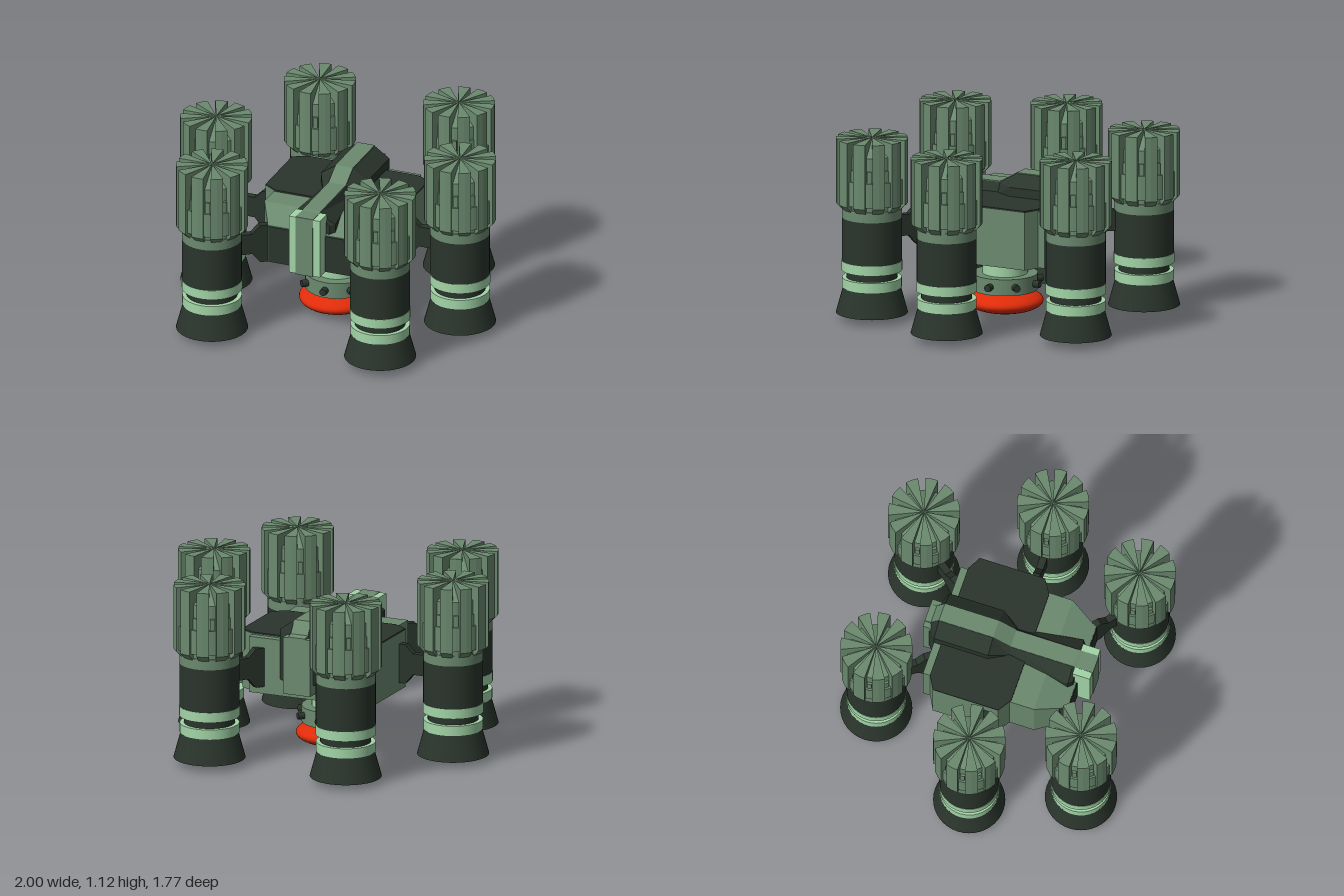
import * as THREE from 'three';
import { mergeGeometries } from 'three/addons/utils/BufferGeometryUtils.js';

const paint = (color) => new THREE.MeshStandardMaterial({ color });
const GREEN = paint(0x6b8a6f), DARK = paint(0x2a352c), LIGHT = paint(0xa3d6a8), RED = paint(0xe02c0a);

function add(parent, name, geometry, material, x = 0, y = 0, z = 0) {
  const mesh = new THREE.Mesh(geometry, material);
  mesh.name = name;
  mesh.position.set(x, y, z);
  parent.add(mesh);
  return mesh;
}

// Flat-faced solid through convex rings; sections = [z, [[x, y], ...]] with rising z, rings counter-clockwise
function loft(sections) {
  const pos = [];
  const put = (s, i) => pos.push(s[1][i][0], s[1][i][1], s[0]);
  const n = sections[0][1].length;
  const last = sections[sections.length - 1];
  for (let k = 0; k + 1 < sections.length; k++) {
    const a = sections[k], b = sections[k + 1];
    for (let i = 0; i < n; i++) {
      const j = (i + 1) % n;
      put(a, i); put(a, j); put(b, j);
      put(a, i); put(b, j); put(b, i);
    }
  }
  for (let i = 1; i + 1 < n; i++) {
    put(sections[0], 0); put(sections[0], i + 1); put(sections[0], i);
    put(last, 0); put(last, i); put(last, i + 1);
  }
  const g = new THREE.BufferGeometry();
  g.setAttribute('position', new THREE.Float32BufferAttribute(pos, 3));
  g.computeVertexNormals();
  return g;
}

const upright = (sections) => loft(sections).rotateX(-Math.PI / 2);
const box = (w, y0, y1) => [[-w, y0], [w, y0], [w, y1], [-w, y1]];

// Wedge-shaped ring from the axis out to radius r
function sector(r, mid, half) {
  const pts = [[0, 0]];
  for (const a of [-half, 0, half]) pts.push([r * Math.cos(mid + a), r * Math.sin(mid + a)]);
  return pts;
}

function circle(r, n) {
  return Array.from({ length: n }, (_, i) => {
    const a = (i / n) * Math.PI * 2;
    return [r * Math.cos(a), r * Math.sin(a)];
  });
}

// Finned head: core with sloping groove floors, tall fins, stepped blocks in the slots
function headGeometry() {
  const count = 11, pitch = (Math.PI * 2) / count;
  const parts = [upright([
    [0.7, circle(0.172, 33)], [1.03, circle(0.172, 33)], [1.11, circle(0.002, 33)],
  ])];
  for (let i = 0; i < count; i++) {
    const a = i * pitch + 0.1, half = pitch * 0.31;
    parts.push(upright([
      [0.69, sector(0.18, a, half)], [0.725, sector(0.215, a, half)], [1.12, sector(0.215, a, half)],
    ]));
    const s = a + pitch / 2, gap = pitch * 0.19;
    parts.push(upright([[0.73, sector(0.197, s, gap)], [0.88, sector(0.197, s, gap)]]));
    parts.push(upright([[0.88, sector(0.186, s, gap * 0.7)], [0.95, sector(0.186, s, gap * 0.7)]]));
  }
  return mergeGeometries(parts);
}

function thruster(head) {
  const g = new THREE.Group();
  g.name = 'thruster';
  const rings = [ // name, bottom y, top y, bottom radius, top radius, material
    ['nozzle', 0.05, 0.205, 0.215, 0.173, DARK],
    ['lowerBand', 0.205, 0.265, 0.178, 0.178, LIGHT],
    ['neck', 0.265, 0.31, 0.152, 0.152, DARK],
    ['upperBand', 0.31, 0.37, 0.181, 0.181, LIGHT],
    ['barrel', 0.37, 0.635, 0.179, 0.179, DARK],
    ['collar', 0.635, 0.7, 0.179, 0.179, GREEN],
  ];
  for (const [name, y0, y1, r0, r1, mat] of rings) {
    add(g, name, new THREE.CylinderGeometry(r1, r0, y1 - y0, 40), mat, 0, (y0 + y1) / 2, 0);
  }
  add(g, 'finnedHead', head, GREEN);
  return g;
}

// Thin bevelled plate joining hull point a to thruster centre b (both [x, z])
function strut(a, b) {
  const dx = b[0] - a[0], dz = b[1] - a[1], len = Math.hypot(dx, dz) - 0.1;
  const s = new THREE.Shape();
  [[-0.08, 0.44], [0.04, 0.44], [0.09, 0.5], [len, 0.5], [len, 0.63], [0.09, 0.63], [0.04, 0.68], [-0.08, 0.68]]
    .forEach(([x, y], i) => (i ? s.lineTo(x, y) : s.moveTo(x, y)));
  const geo = new THREE.ExtrudeGeometry(s, { depth: 0.044, bevelEnabled: false });
  geo.translate(0, 0, -0.022).rotateY(Math.atan2(-dz, dx)).translate(a[0], 0, a[1]);
  return geo;
}

export function createModel() {
  const model = new THREE.Group();

  // Hull: octagonal middle, tapered bow, stern block
  const plan = [[-0.355, 0.355], [-0.44, 0.31], [-0.44, -0.1], [-0.355, -0.155],
    [0.355, -0.155], [0.44, -0.1], [0.44, 0.31], [0.355, 0.355]];
  add(model, 'hullMiddle', upright([[0.392, plan], [0.745, plan]]), GREEN);
  add(model, 'hullDeck', upright([[0.745, plan], [0.755, plan]]), DARK);
  add(model, 'hullBow', loft([
    [0.1, box(0.365, 0.39, 0.745)], [0.3, box(0.365, 0.39, 0.745)], [0.478, box(0.27, 0.44, 0.68)],
  ]), GREEN);
  add(model, 'bowPlate', loft([[0.47, box(0.265, 0.445, 0.675)], [0.484, box(0.265, 0.445, 0.675)]]), DARK);
  add(model, 'hullStern', loft([[-0.4, box(0.355, 0.395, 0.74)], [-0.3, box(0.355, 0.395, 0.74)]]), GREEN);

  // Spine: waisted ridge, higher at the rear, with a strip along its top
  const spine = [ // z, half width, top y
    [-0.45, 0.09, 0.8], [-0.4, 0.15, 0.875], [-0.06, 0.15, 0.875],
    [0.05, 0.09, 0.81], [0.44, 0.15, 0.81], [0.465, 0.12, 0.805],
  ];
  add(model, 'spine', loft(spine.map(([z, w, y]) => [z, [
    [-w, 0.5], [w, 0.5], [w, y - 0.065], [0.056, y], [-0.056, y], [-w, y - 0.065],
  ]])), DARK);
  const strip = [[-0.49, 0, 0.79], ...spine, [0.567, 0, 0.81]];
  add(model, 'spineStrip', loft(strip.map(([z, , y]) => [z, box(0.056, y - 0.05, y + 0.005)])), GREEN);
  add(model, 'bowColumn', new THREE.BoxGeometry(0.2, 0.37, 0.11), LIGHT, 0, 0.625, 0.508);
  add(model, 'bowColumnStrip', new THREE.BoxGeometry(0.11, 0.375, 0.04), GREEN, 0, 0.625, 0.548);
  add(model, 'sternColumn', new THREE.BoxGeometry(0.18, 0.35, 0.1), GREEN, 0, 0.615, -0.44);

  // Belly turret: stem, collar with knobs, red lens
  const turret = new THREE.Group();
  turret.name = 'bellyTurret';
  turret.position.z = 0.045;
  model.add(turret);
  add(turret, 'stem', new THREE.CylinderGeometry(0.135, 0.135, 0.18, 40), LIGHT, 0, 0.32, 0);
  add(turret, 'turretCollar', new THREE.CylinderGeometry(0.195, 0.195, 0.1, 40), GREEN, 0, 0.195, 0);
  const knob = new THREE.CylinderGeometry(0.022, 0.022, 0.06, 12).rotateZ(Math.PI / 2);
  for (let i = 0; i < 8; i++) {
    const a = (i * Math.PI) / 4;
    add(turret, 'knob', knob, DARK, 0.203 * Math.cos(a), 0.195, -0.203 * Math.sin(a)).rotation.y = a;
  }
  add(turret, 'lens', new THREE.SphereGeometry(1, 40, 20).scale(0.23, 0.072, 0.23), RED, 0, 0.077, 0);

  // Six thrusters and their struts: thruster centre, then hull joint
  const head = headGeometry();
  const layout = [
    [[0.785, 0.035], [0.44, 0.035]], [[-0.785, 0.035], [-0.44, 0.035]],
    [[0.485, -0.675], [0.28, -0.4]], [[-0.41, -0.675], [-0.21, -0.4]],
    [[0.53, 0.665], [0.28, 0.46]], [[-0.555, 0.66], [-0.29, 0.46]],
  ];
  layout.forEach(([centre, joint]) => {
    const t = thruster(head);
    t.position.set(centre[0], centre[0] < 0 ? -0.008 : 0, centre[1]);
    model.add(t);
    add(model, 'strut', strut(joint, centre), DARK);
  });
  return model;
}
